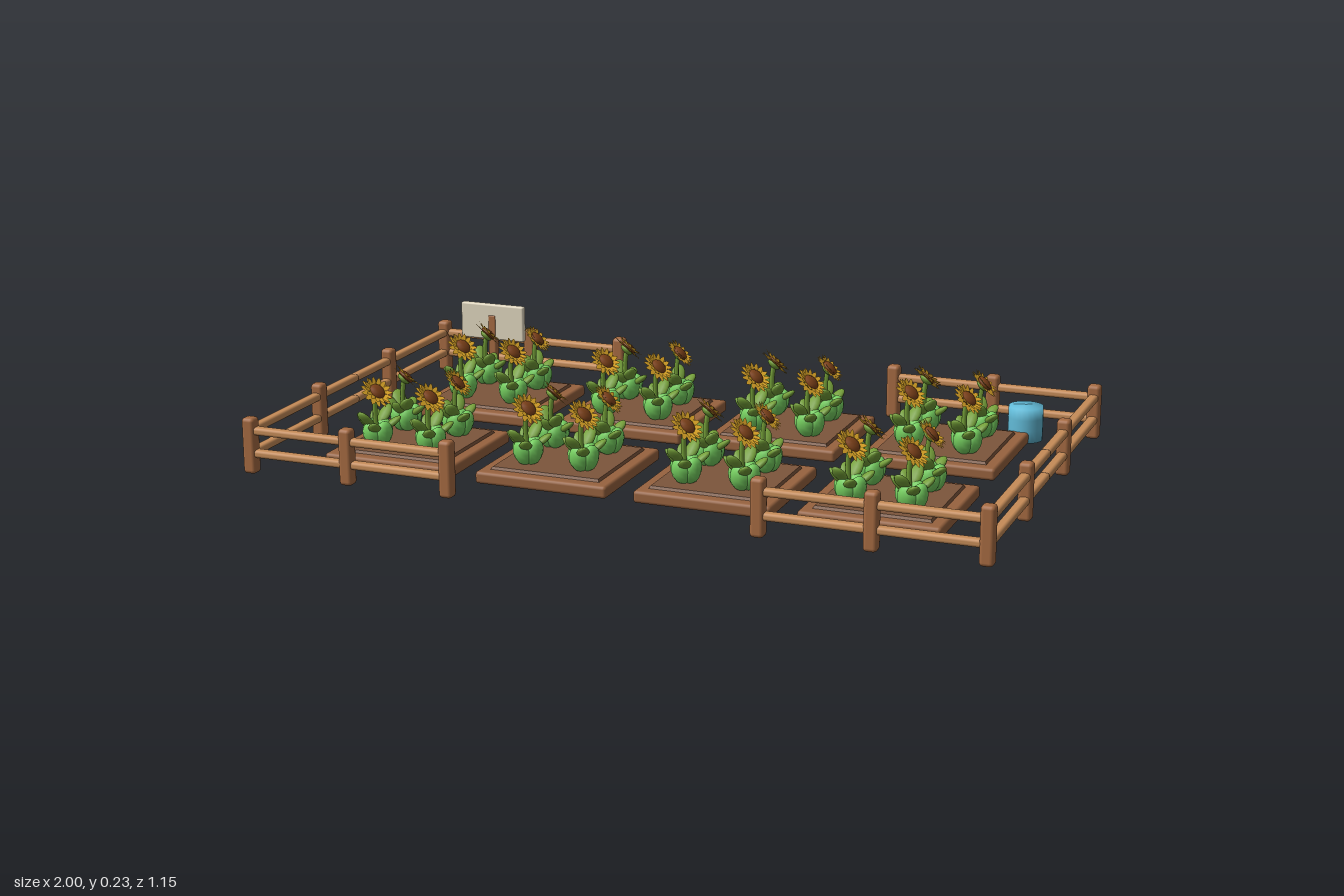
import * as THREE from 'three';
import { mergeGeometries } from 'three/addons/utils/BufferGeometryUtils.js';
import { RoundedBoxGeometry } from 'three/addons/geometries/RoundedBoxGeometry.js';

function material(name, color, side = THREE.FrontSide) {
  const m = new THREE.MeshStandardMaterial({ color, side });
  m.name = name;
  return m;
}
const mats = {
  post: material('postWood', 0xa66b42),
  rail: material('railWood', 0xc68c58),
  frame: material('frameWood', 0x98633f),
  soil: material('soil', 0x7c553b),
  petal: material('petalGold', 0xeab02a, THREE.DoubleSide),
  seed: material('seedBrown', 0x7e421a),
  leaf: material('freshGreen', 0x76d060),
  dark: material('oliveGreen', 0x749f38),
  blue: material('waterBlue', 0x62bbd8),
  cream: material('paleBoard', 0xe2d8c0),
};

function add(parent, name, geometry, mat, x = 0, y = 0, z = 0) {
  const mesh = new THREE.Mesh(geometry, mat);
  mesh.name = name;
  mesh.position.set(x, y, z);
  parent.add(mesh);
  return mesh;
}

// Copy of a geometry with offset, rotation and scale baked in
function place(geometry, position, rotation, scale) {
  const q = new THREE.Quaternion().setFromEuler(new THREE.Euler(...rotation, 'YXZ'));
  return geometry.clone().applyMatrix4(new THREE.Matrix4().compose(
    new THREE.Vector3(...position), q, new THREE.Vector3(...scale)));
}

// Square timber with softened edges
const timber = (w, h, d, r) => new RoundedBoxGeometry(w, h, d, 2, r);

function buildFence(root) {
  const fence = new THREE.Group();
  fence.name = 'fence';
  root.add(fence);
  const X = 0.982, Z = 0.557;
  const postGeo = timber(0.036, 0.15, 0.036, 0.01);
  const sideRail = timber(0.027, 0.021, Z + 0.004, 0.008);
  const endRail = timber(0.565, 0.021, 0.027, 0.008);
  for (const sx of [-1, 1]) {
    for (const sz of [-1, 1]) {
      for (const [x, z] of [[X, Z], [0.7, Z], [0.416, Z], [X, 0.2]]) {
        add(fence, 'fencePost', postGeo, mats.post, sx * x, 0.075, sz * z);
      }
      for (const y of [0.054, 0.115]) {
        add(fence, 'sideRail', sideRail, mats.rail, sx * X, y, sz * Z / 2);
        add(fence, 'endRail', endRail, mats.rail, sx * 0.699, y, sz * Z);
      }
    }
  }
}

// Petal: a broad pointed blade along +y
function petalGeometry(length, width) {
  const shape = new THREE.Shape();
  shape.moveTo(0, 0);
  shape.bezierCurveTo(width, length * 0.25, width, length * 0.75, 0, length);
  shape.bezierCurveTo(-width, length * 0.75, -width, length * 0.25, 0, 0);
  return new THREE.ShapeGeometry(shape, 4);
}

function petalRing(count, length, width, z, lean, offset) {
  const blade = petalGeometry(length, width);
  blade.rotateX(lean);
  blade.translate(0, 0.016, z);
  const parts = [];
  for (let i = 0; i < count; i++) {
    parts.push(blade.clone().rotateZ((i + offset) / count * Math.PI * 2));
  }
  return parts;
}

function plantGeometries() {
  const ball = new THREE.SphereGeometry(1, 10, 8);
  const inner = [], outer = [];
  // Plump inner leaves cupped round the stem
  for (let i = 0; i < 4; i++) {
    const a = i * Math.PI / 2;
    inner.push(place(ball, [Math.sin(a) * 0.02, 0.036, Math.cos(a) * 0.02],
      [0.25, a, 0], [0.028, 0.036, 0.022]));
  }
  // Broad upper leaves, spread mostly to the two sides
  for (const s of [-1, 1]) {
    const a = s > 0 ? 0 : Math.PI;
    outer.push(place(ball, [-0.008, 0.078, s * 0.034], [0.75, a, 0], [0.02, 0.032, 0.01]));
    outer.push(place(ball, [0.022, 0.06, s * 0.033], [0.95, a + s * 0.7, 0], [0.017, 0.028, 0.009]));
    outer.push(place(ball, [-0.026, 0.068, s * 0.022], [0.7, a - s * 0.9, 0], [0.017, 0.028, 0.009]));
  }
  return {
    inner: mergeGeometries(inner),
    outer: mergeGeometries(outer),
    stem: new THREE.TubeGeometry(new THREE.CatmullRomCurve3([
      new THREE.Vector3(0, 0, 0), new THREE.Vector3(-0.008, 0.08, 0),
      new THREE.Vector3(-0.006, 0.125, 0), new THREE.Vector3(0, 0.147, 0)]), 8, 0.007, 6),
    petals: mergeGeometries([
      ...petalRing(14, 0.032, 0.0095, -0.001, 0.05, 0),
      ...petalRing(14, 0.028, 0.0085, 0.004, 0.3, 0.5)]),
    seeds: place(ball, [0, 0, 0.004], [0, 0, 0], [0.023, 0.023, 0.011]),
    calyx: place(ball, [0, 0, -0.005], [0, 0, 0], [0.019, 0.019, 0.009]),
  };
}

function buildPlant(geos, yaw) {
  const plant = new THREE.Group();
  plant.name = 'sunflower';
  add(plant, 'innerLeaves', geos.inner, mats.leaf);
  add(plant, 'outerLeaves', geos.outer, mats.dark);
  add(plant, 'stem', geos.stem, mats.dark);
  // Bloom looks toward +x and up
  const bloom = new THREE.Group();
  bloom.name = 'bloom';
  bloom.position.y = 0.146;
  bloom.rotation.set(-0.78, Math.PI / 2, 0, 'YXZ');
  add(bloom, 'petals', geos.petals, mats.petal);
  add(bloom, 'seedHead', geos.seeds, mats.seed);
  add(bloom, 'calyx', geos.calyx, mats.dark);
  plant.add(bloom);
  plant.rotation.y = yaw;
  return plant;
}

function buildBeds(root) {
  const tray = timber(0.365, 0.033, 0.365, 0.009);
  // Soil slab with sloping edges
  const mound = new THREE.CylinderGeometry(0.295 / Math.SQRT2, 0.313 / Math.SQRT2, 0.016, 4);
  mound.rotateY(Math.PI / 4);
  const flatMound = mound.toNonIndexed();
  flatMound.computeVertexNormals();
  const geos = plantGeometries();
  const yaws = [0.75, 0.25, -0.3, -0.2];

  for (const z of [-0.255, 0.25]) {
    for (const x of [-0.656, -0.219, 0.219, 0.652]) {
      const bed = new THREE.Group();
      bed.name = 'plantingBed';
      bed.position.set(x, 0, z);
      root.add(bed);
      add(bed, 'bedFrame', tray, mats.frame, 0, 0.0165, 0);
      add(bed, 'soil', flatMound, mats.soil, 0, 0.032, 0);
      yaws.forEach((yaw, i) => {
        const plant = buildPlant(geos, yaw);
        plant.position.set(i % 2 ? 0.078 : -0.078, 0.036, i < 2 ? -0.08 : 0.08);
        bed.add(plant);
      });
    }
  }
}

function buildSign(root) {
  const sign = new THREE.Group();
  sign.name = 'sign';
  sign.position.set(-0.79, 0, -0.492);
  root.add(sign);
  add(sign, 'signBoard', timber(0.2, 0.105, 0.02, 0.005), mats.cream, 0, 0.179, 0);
  add(sign, 'signPost', timber(0.024, 0.2, 0.024, 0.005), mats.post, 0, 0.1, 0);
}

function buildBarrel(root) {
  const profile = [[0, 0], [0.047, 0.002], [0.0475, 0.035], [0.0475, 0.065],
    [0.047, 0.096], [0, 0.099]];
  const geo = new THREE.LatheGeometry(profile.map(p => new THREE.Vector2(...p)), 20);
  add(root, 'waterBarrel', geo, mats.blue, 0.815, 0, -0.472);
}

export function createModel() {
  const root = new THREE.Group();
  root.name = 'flowerGarden';
  buildFence(root);
  buildBeds(root);
  buildSign(root);
  buildBarrel(root);
  return root;
}
